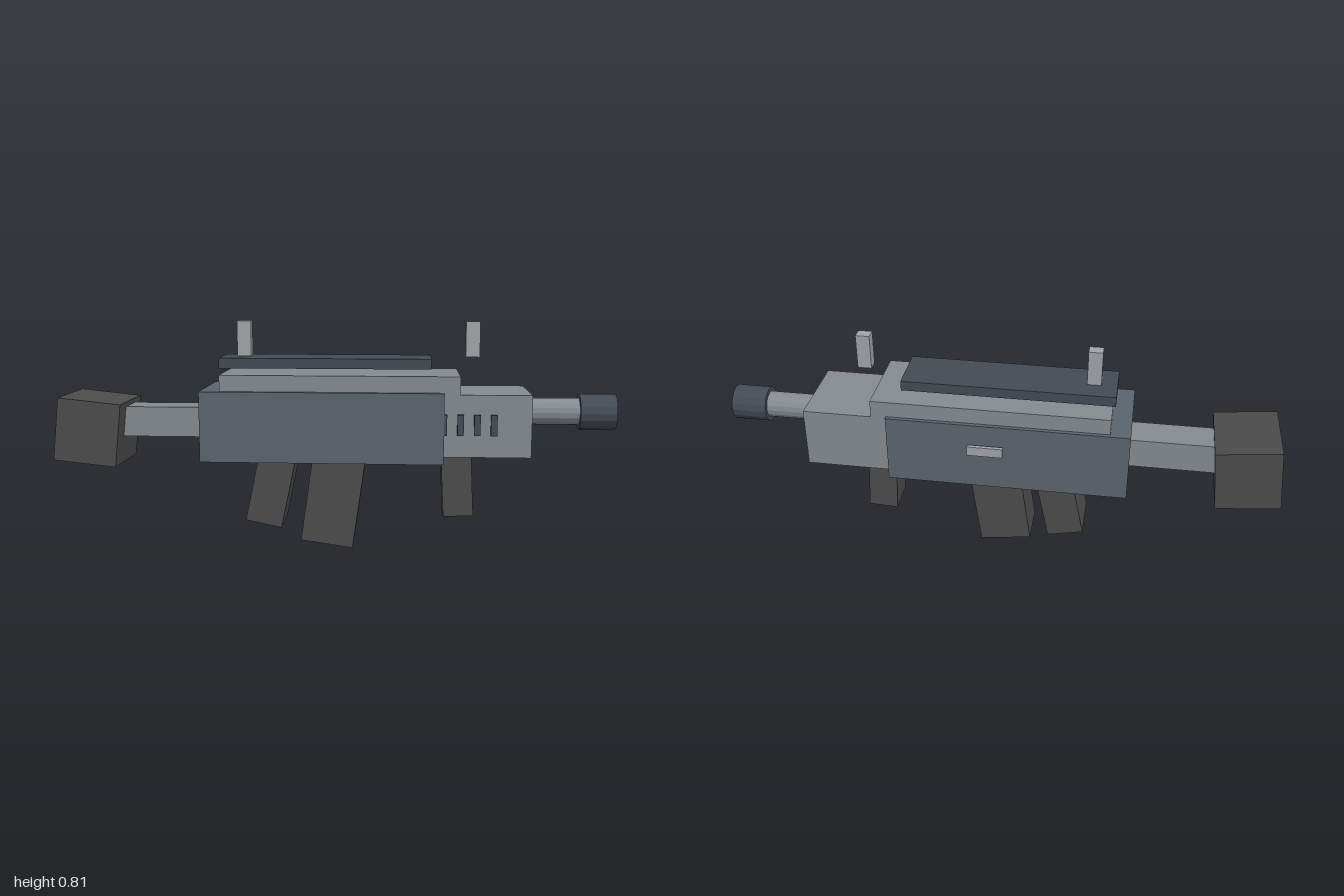
import * as THREE from 'three';

const mat = (color) => new THREE.MeshStandardMaterial({ color, flatShading: true });
const MID_Z = 0.0125;

export function createModel() {
  const model = new THREE.Group();
  const steel = mat(0x858b90), body = mat(0x5a646e), dark = mat(0x434b53);
  const grip = mat(0x4c4c4c), pale = mat(0xa0a5a9);

  const add = (name, geometry, material, x, y, z, tilt = 0) => {
    const mesh = new THREE.Mesh(geometry, material);
    mesh.name = name;
    mesh.position.set(x, y, z);
    mesh.rotation.z = tilt;
    model.add(mesh);
    return mesh;
  };
  // Axis-aligned block given by its limits
  const block = (name, material, x0, x1, y0, y1, z0, z1) =>
    add(name, new THREE.BoxGeometry(x1 - x0, y1 - y0, z1 - z0), material,
      (x0 + x1) / 2, (y0 + y1) / 2, (z0 + z1) / 2);
  // Tilted block hung from the middle of its bottom edge
  const slanted = (name, x, y, w, h, z0, z1, tilt) => {
    const geometry = new THREE.BoxGeometry(w, h, z1 - z0).translate(0, h / 2, 0);
    return add(name, geometry, grip, x, y, (z0 + z1) / 2, tilt);
  };
  // Cylinder along x
  const rod = (name, material, x0, x1, radius) =>
    add(name, new THREE.CylinderGeometry(radius, radius, x1 - x0, 16).rotateZ(-Math.PI / 2),
      material, (x0 + x1) / 2, 0.494, MID_Z);

  // Main body
  block('receiver', body, -0.465, 0.39, 0.325, 0.574, -0.155, 0.18);
  block('upperBody', steel, -0.395, 0.445, 0.5, 0.631, -0.14, 0.163);
  block('handguard', steel, 0.36, 0.692, 0.35, 0.568, -0.14, 0.163);

  // Barrel and muzzle
  rod('barrel', steel, 0.6, 0.9, 0.048);
  rod('muzzle', dark, 0.872, 1, 0.064);

  // Top rail and sights
  block('topRail', dark, -0.405, 0.346, 0.65, 0.686, -0.08, 0.107);
  for (const [name, x] of [['rearSight', -0.324], ['frontSight', 0.493]]) {
    block(name, pale, x - 0.025, x + 0.025, 0.688, 0.814, -0.008, 0.034);
  }

  // Stock
  block('stockTube', steel, -0.8, -0.45, 0.397, 0.505, -0.055, 0.07);
  slanted('stock', -0.8875, 0.309, 0.226, 0.226, -0.13, 0.153, -0.105);

  // Underside parts
  slanted('rearGrip', -0.25, 0.087, 0.132, 0.3, -0.08, 0.107, -0.205);
  slanted('magazine', -0.022, 0.016, 0.188, 0.36, -0.05, 0.107, -0.14);
  slanted('foreGrip', 0.449, 0.12, 0.107, 0.25, -0.055, 0.081, 0.05);

  // Side vents
  for (let i = 0; i < 4; i++) {
    const x = 0.389 + i * 0.0575;
    block('vent', dark, x - 0.011, x + 0.011, 0.428, 0.5, 0.158, 0.177);
  }

  // Plate on the back side
  block('sidePlate', pale, -0.028, 0.097, 0.467, 0.502, -0.18, -0.166);

  return model;
}
